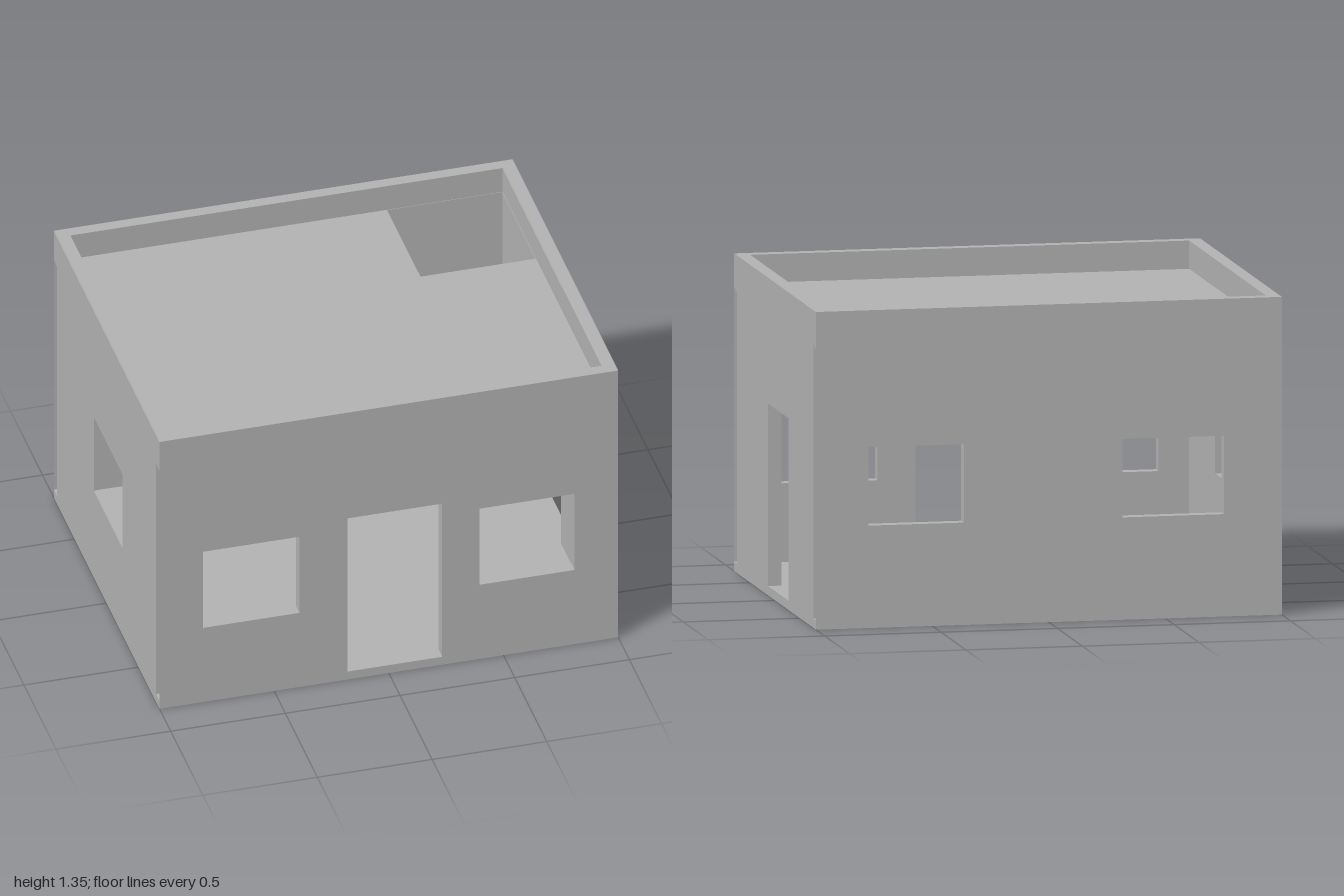
import * as THREE from 'three';

const X = 1, Z = 0.825;        // outer half extents
const XI = 0.942, ZI = 0.772;  // inner half extents
const FLOOR = 0.04, CEILING = 1.19, ROOF = 1.23, BAND = 1.205, TOP = 1.35;

const concrete = new THREE.MeshStandardMaterial({ color: 0xb2b2b2 });
concrete.name = 'concrete';
const shell = new THREE.MeshStandardMaterial({ color: 0xb2b2b2, side: THREE.DoubleSide });
shell.name = 'concrete shell';

const rect = ([x0, x1, y0, y1]) => [[x0, y0], [x1, y0], [x1, y1], [x0, y1]].map(p => new THREE.Vector2(...p));

// Wall elevation with window holes and an optional doorway notch from the floor
function wallShape(half, top, windows, door) {
  const pts = [[-half, FLOOR]];
  if (door) pts.push([door[0], FLOOR], [door[0], door[3]], [door[1], door[3]], [door[1], FLOOR]);
  pts.push([half, FLOOR], [half, top], [-half, top]);
  const shape = new THREE.Shape(pts.map(p => new THREE.Vector2(...p)));
  for (const w of windows) shape.holes.push(new THREE.Path(rect(w)));
  return shape;
}

// Lining of an opening between depths z0 and z1; a doorway has no sill
function liningGeometry(o, z0, z1, isDoor) {
  const c = rect(o), pos = [];
  for (let i = isDoor ? 1 : 0; i < 4; i++) {
    const a = c[i], b = c[(i + 1) % 4];
    pos.push(a.x, a.y, z0, b.x, b.y, z1, b.x, b.y, z0, a.x, a.y, z0, a.x, a.y, z1, b.x, b.y, z1);
  }
  const g = new THREE.BufferGeometry();
  g.setAttribute('position', new THREE.Float32BufferAttribute(pos, 3));
  g.computeVertexNormals();
  return g;
}

function add(parent, name, geometry, material = concrete) {
  const m = new THREE.Mesh(geometry, material);
  m.name = name;
  parent.add(m);
  return m;
}

// Horizontal slab with an optional rectangular hole, in plan coordinates (x, z)
function slab(parent, name, hx, hz, y0, y1, hole) {
  const shape = new THREE.Shape(rect([-hx, hx, -hz, hz]));
  if (hole) shape.holes.push(new THREE.Path(rect(hole)));
  const g = new THREE.ExtrudeGeometry(shape, { depth: y1 - y0, bevelEnabled: false });
  g.rotateX(Math.PI / 2).translate(0, y1, 0);
  return add(parent, name, g);
}

// Hollow long wall: outer leaf, inner leaf and opening linings, open at both ends
function cavityWall(name, windows, door) {
  const wall = new THREE.Group();
  wall.name = name;
  add(wall, 'outerLeaf', new THREE.ShapeGeometry(wallShape(X, BAND, windows, door)), shell).position.z = Z;
  add(wall, 'innerLeaf', new THREE.ShapeGeometry(wallShape(XI, CEILING, windows, door)), shell).position.z = ZI;
  for (const w of windows) add(wall, 'windowLining', liningGeometry(w, ZI, Z, false), shell);
  if (door) add(wall, 'doorLining', liningGeometry(door, ZI, Z, true), shell);
  return wall;
}

// Solid side wall; its elevation runs along z
function sideWall(parent, name, x, windows, door) {
  const g = new THREE.ExtrudeGeometry(wallShape(ZI, BAND, windows, door), { depth: X - XI, bevelEnabled: false });
  g.rotateY(-Math.PI / 2).translate(x, 0, 0);
  return add(parent, name, g);
}

export function createModel() {
  const house = new THREE.Group();
  house.name = 'house';

  slab(house, 'floorSlab', X, Z, 0, FLOOR);

  house.add(cavityWall('frontWall',
    [[-0.81, -0.39, 0.375, 0.76], [0.395, 0.81, 0.375, 0.76]], [-0.18, 0.232, FLOOR, 0.815]));

  // The back wall is turned round, so its x values are reversed
  const back = cavityWall('backWall', [[-0.775, -0.365, 0.435, 0.768], [0.315, 0.752, 0.435, 0.768]]);
  back.rotation.y = Math.PI;
  house.add(back);

  sideWall(house, 'leftWall', X, [], [-0.275, 0.14, FLOOR, 0.815]);
  sideWall(house, 'rightWall', -XI, [[-0.2, 0.247, 0.44, 0.812]]);

  // Roof with a stair opening at the back corner, ringed by a parapet
  slab(house, 'roofSlab', 0.995, 0.82, CEILING, ROOF, [0.438, XI - 0.002, -0.77, -0.25]);
  slab(house, 'parapet', X, Z, BAND, TOP, [-XI, XI, -ZI, ZI]);

  return house;
}
